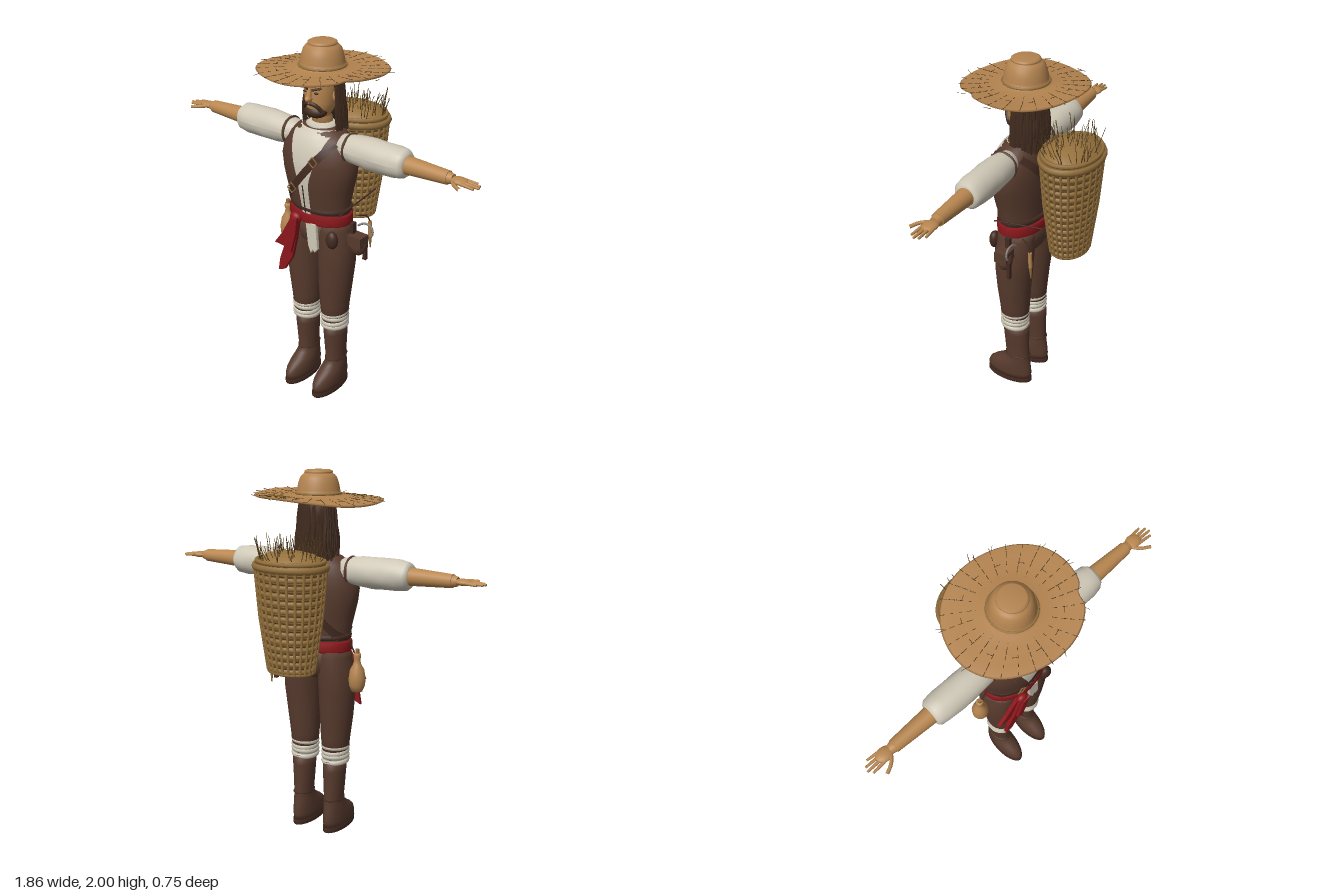
import * as THREE from 'three';

const mat = (name, color, side = THREE.FrontSide) =>
  Object.assign(new THREE.MeshStandardMaterial({ color, side }), { name });
const V = (x, y, z) => new THREE.Vector3(x, y, z);

export function createModel() {
  const M = {
    straw: mat('straw', 0xb3834f), skin: mat('skin', 0xb98750), hair: mat('hair', 0x422c1f),
    leather: mat('leather', 0x573a2d), strap: mat('strap', 0x432a20, THREE.DoubleSide),
    cream: mat('cream', 0xcfc8b7, THREE.DoubleSide), red: mat('red', 0x8c171c, THREE.DoubleSide),
    wicker: mat('wicker', 0x94703c), dryGrass: mat('dryGrass', 0x57401f), metal: mat('metal', 0x8b8880),
  };
  const root = new THREE.Group();
  let seed = 7;
  const rnd = (a = 0, b = 1) => { seed = (seed * 16807) % 2147483647; return a + (b - a) * seed / 2147483647; };
  const part = (name, parent = root) => { const g = new THREE.Group(); g.name = name; parent.add(g); return g; };
  const add = (name, geo, m, parent = root) => {
    const mesh = new THREE.Mesh(geo, m); mesh.name = name; parent.add(mesh); return mesh;
  };

  // Closed body through elliptical sections [y, centreX, centreZ, radiusX, radiusZ]
  const loft = (sec, n = 28) => {
    const pos = [], idx = [];
    sec.forEach(([y, cx, cz, rx, rz]) => {
      for (let j = 0; j < n; j++) {
        const a = j / n * Math.PI * 2;
        pos.push(cx + rx * Math.cos(a), y, cz + rz * Math.sin(a));
      }
    });
    for (let i = 0; i < sec.length - 1; i++) for (let j = 0; j < n; j++) {
      const a = i * n + j, b = i * n + (j + 1) % n;
      idx.push(a, a + n, b, b, a + n, b + n);
    }
    const top = (sec.length - 1) * n, c = sec.length * n;
    [sec[0], sec[sec.length - 1]].forEach(s => pos.push(s[1], s[0], s[2]));
    for (let j = 0; j < n; j++) {
      const k = (j + 1) % n;
      idx.push(c, j, k, c + 1, top + k, top + j);
    }
    const g = new THREE.BufferGeometry();
    g.setAttribute('position', new THREE.Float32BufferAttribute(pos, 3));
    g.setIndex(idx); g.computeVertexNormals();
    return g;
  };
  const lathe = (pts, n = 28) => new THREE.LatheGeometry(pts.map(p => new THREE.Vector2(...p)), n);
  const rod = (name, a, b, r0, m, parent, r1 = r0, n = 8) => {
    const d = b.clone().sub(a), mesh = add(name, new THREE.CylinderGeometry(r1, r0, d.length(), n), m, parent);
    mesh.position.copy(a).addScaledVector(d, 0.5);
    mesh.quaternion.setFromUnitVectors(V(0, 1, 0), d.normalize());
    return mesh;
  };
  const tube = (name, pts, r, m, parent, n = 6) =>
    add(name, new THREE.TubeGeometry(new THREE.CatmullRomCurve3(pts), 10, r, n), m, parent);
  const ball = (name, p, s, m, parent) => {
    const b = add(name, new THREE.SphereGeometry(1, 20, 14), m, parent);
    b.position.set(...p); b.scale.set(...s); return b;
  };
  const cloth = (name, pts, z, m, parent) => {
    const g = new THREE.ExtrudeGeometry(new THREE.Shape(pts.map(p => new THREE.Vector2(...p))),
      { depth: 0.014, bevelSize: 0.004, bevelThickness: 0.004, bevelSegments: 2 });
    const mesh = add(name, g, m, parent); mesh.position.z = z; return mesh;
  };

  // Vest and hips
  const TORSO = [[1.04, 0, .08, .175, .11], [1.15, 0, .085, .178, .118], [1.25, 0, .09, .2, .132],
    [1.32, 0, .09, .218, .138], [1.39, 0, .09, .228, .138], [1.46, 0, .085, .215, .13],
    [1.52, 0, .08, .178, .112], [1.555, 0, .075, .14, .09], [1.58, 0, .07, .07, .06]];
  add('vest', loft(TORSO, 40), M.leather);
  add('hips', loft([[.9, 0, .08, .07, .07], [.94, 0, .08, .155, .105], [.99, 0, .08, .19, .112], [1.07, 0, .08, .182, .112]], 32), M.leather);

  // Thin sheets that follow the torso, front (side 1) or back (side -1)
  const torsoZ = (x, y, side) => {
    let i = 0;
    while (i < TORSO.length - 2 && TORSO[i + 1][0] < y) i++;
    const p = TORSO[i], q = TORSO[i + 1], t = (y - p[0]) / (q[0] - p[0]);
    const [cz, rx, rz] = [2, 3, 4].map(k => p[k] + (q[k] - p[k]) * t);
    return cz + side * rz * Math.sqrt(Math.max(0, 1 - (x / rx) ** 2));
  };
  const sheet = (name, rows, off, m, side = 1) => {
    const g = new THREE.PlaneGeometry(1, 1, 8, rows.length - 1), p = g.attributes.position;
    rows.forEach(([[x0, y0], [x1, y1]], i) => {
      for (let j = 0; j <= 8; j++) {
        const x = x0 + (x1 - x0) * j / 8, y = y0 + (y1 - y0) * j / 8;
        p.setXYZ(i * 9 + j, x, y, torsoZ(x, y, side) + off * side);
      }
    });
    g.computeVertexNormals();
    return add(name, g, m);
  };
  const shirtHalf = y => y > 1.3 ? .035 + (y - 1.3) * .32 : .026 + (y - 1.06) * .035;
  sheet('shirtFront', Array.from({ length: 19 }, (_, i) => {
    const y = 1.566 - i * .028, w = shirtHalf(y); return [[-w, y], [w, y]];
  }), .006, M.cream);
  add('collar', loft([[1.54, 0, .075, .1, .08], [1.575, 0, .075, .085, .07], [1.59, 0, .075, .065, .062]]), M.cream);
  rod('shirtSlit', V(0, 1.12, .212), V(0, 1.28, .235), .003, M.strap);
  const strapRows = (x0, y0, x1, y1, w) => Array.from({ length: 17 }, (_, i) => {
    const t = i / 16, x = x0 + (x1 - x0) * t, y = y0 + (y1 - y0) * t;
    return [[x - w * .75, y - w * -.65], [x + w * .75, y - w * .65]];
  });
  sheet('chestStrap', strapRows(.15, 1.52, -.165, 1.13, .02), .014, M.strap);
  sheet('backStrap', strapRows(.15, 1.52, -.165, 1.13, .02), .012, M.strap, -1);
  [[-.075, 1.245], [.07, 1.425]].forEach(([x, y]) => {
    const b = add('buckle', new THREE.TorusGeometry(.028, .004, 5, 4), M.wicker);
    b.position.set(x, y, torsoZ(x, y, 1) + .02); b.rotation.z = .1;
  });

  // Belts and sash
  const band = (name, y0, y1, rx, rz, m) => add(name, loft([[y0, 0, .083, rx - .008, rz - .008], [y0 + .008, 0, .083, rx, rz],
    [y1 - .008, 0, .083, rx, rz], [y1, 0, .083, rx - .008, rz - .008]], 36), m);
  band('sash', 1.05, 1.112, .19, .128, M.red);
  band('belt', 1.118, 1.15, .186, .126, M.strap);
  const knot = part('sashKnot');
  ball('knot', [-.06, 1.075, .22], [.035, .03, .024], M.red, knot);
  cloth('longTail', [[-.075, 1.08], [-.035, 1.07], [-.055, .95], [-.085, .83], [-.14, .74], [-.18, .72], [-.165, .8], [-.115, .93]], .215, M.red, knot);
  cloth('shortTail', [[-.09, 1.07], [-.05, 1.07], [-.08, .97], [-.13, .87], [-.215, .875], [-.165, .94]], .2, M.red, knot);
  cloth('sideTail', [[-.07, 1.07], [-.035, 1.08], [-.05, .98], [-.08, .87], [-.11, .9]], .23, M.red, knot);
  cloth('shirtTail', [[0, 1.06], [.06, 1.06], [.07, .92], [.055, .9], [.045, .915], [.03, .89], [.015, .93]], .192, M.cream);
  rod('sideCord', V(.18, 1.13, .16), V(.19, 1.18, -.14), .004, M.strap);

  // Legs, wraps and boots
  for (const s of [-1, 1]) {
    const leg = part(s > 0 ? 'leftLeg' : 'rightLeg');
    add('trousers', loft([[.42, s * .1, .09, .068, .074], [.55, s * .1, .09, .08, .085], [.68, s * .105, .09, .092, .095],
      [.82, s * .11, .085, .1, .106], [.93, s * .107, .082, .1, .11], [1.02, s * .095, .08, .09, .106], [1.06, s * .09, .08, .08, .1]]), M.leather, leg);
    for (let i = 0; i < 4; i++) {
      const w = add('kneeWrap', new THREE.TorusGeometry(.066, .016, 8, 28), M.cream, leg);
      w.position.set(s * .1, .417 + i * .027, .09); w.scale.set(.96, 1.02, 1.05);
      w.rotation.set(Math.PI / 2 + .05 * (i % 2 ? 1 : -1), .04 * s, 0);
    }
    add('wrapCore', loft([[.405, s * .1, .09, .07, .074], [.51, s * .1, .09, .073, .078]]), M.cream, leg);
    add('boot', loft([[.025, s * .1, .132, .058, .14], [.06, s * .1, .132, .06, .142], [.09, s * .1, .126, .06, .135],
      [.115, s * .1, .113, .058, .118], [.135, s * .1, .098, .056, .1], [.16, s * .1, .083, .052, .081], [.19, s * .1, .076, .049, .072],
      [.28, s * .1, .08, .056, .073], [.36, s * .1, .082, .061, .077], [.42, s * .1, .085, .063, .077]]), M.leather, leg);
    add('sole', loft([[0, s * .1, .132, .059, .141], [.004, s * .1, .132, .061, .144], [.026, s * .1, .132, .061, .144], [.03, s * .1, .132, .057, .14]]), M.strap, leg);
    const cuff = add('ankleSeam', new THREE.TorusGeometry(.05, .004, 6, 24), M.strap, leg);
    cuff.position.set(s * .1, .19, .076); cuff.rotation.x = Math.PI / 2; cuff.scale.y = 1.45;
  }

  // Arms with puffed sleeves and open hands
  for (const s of [-1, 1]) {
    const arm = part(s > 0 ? 'leftArm' : 'rightArm');
    arm.position.set(0, 1.49, .085);
    const sleeve = lathe([[.03, .12], [.062, .15], [.072, .2], [.078, .26], [.082, .33], [.081, .4], [.08, .47], [.073, .52], [.06, .537], [.04, .538]], 32);
    const p = sleeve.attributes.position;
    for (let i = 0; i < p.count; i++) {
      const x = p.getX(i), y = p.getY(i), z = p.getZ(i), f = 1 + .025 * Math.sin(5 * Math.atan2(z, x) + y * 30);
      p.setXYZ(i, x * f, y, z * f);
    }
    sleeve.computeVertexNormals();
    add('sleeve', sleeve, M.cream, arm).rotation.z = -s * Math.PI / 2;
    const hole = add('armhole', new THREE.TorusGeometry(.07, .008, 8, 28), M.leather, arm);
    hole.position.x = s * .195; hole.rotation.y = Math.PI / 2;
    rod('forearm', V(s * .5, 0, 0), V(s * .765, 0, 0), .048, M.skin, arm, .034, 24);
    rod('wrist', V(s * .765, 0, 0), V(s * .79, 0, 0), .03, M.skin, arm, .024, 20);
    ball('palm', [s * .82, 0, 0], [.047, .017, .037], M.skin, arm);
    for (let f = 0; f < 4; f++) {
      const z = (f - 1.5) * .018, l = [.9, .925, .932, .915][f];
      rod('finger', V(s * .84, 0, z), V(s * l, -.004, z * 1.25), .0095, M.skin, arm, .006);
    }
    tube('thumb', [V(s * .795, 0, .02), V(s * .825, 0, .055), V(s * .87, -.004, .08)], .009, M.skin, arm, 8);
  }

  // Head and face
  const head = part('head');
  add('neckAndSkull', loft([[1.54, 0, .07, .056, .052], [1.62, 0, .07, .054, .052], [1.632, 0, .088, .05, .062], [1.66, 0, .084, .068, .078],
    [1.7, 0, .08, .08, .086], [1.76, 0, .078, .086, .09], [1.82, 0, .075, .086, .09], [1.88, 0, .072, .08, .085]]), M.skin, head);
  ball('nose', [0, 1.727, .175], [.016, .017, .025], M.skin, head);
  rod('noseBridge', V(0, 1.735, .176), V(0, 1.785, .164), .014, M.skin, head, .008);
  ball('beard', [0, 1.652, .122], [.064, .036, .05], M.hair, head);
  for (const s of [-1, 1]) {
    ball('ear', [s * .087, 1.735, .075], [.012, .03, .018], M.skin, head);
    ball('eye', [s * .034, 1.757, .16], [.014, .006, .007], M.hair, head);
    rod('brow', V(s * .014, 1.772, .169), V(s * .058, 1.784, .149), .006, M.hair, head);
    tube('moustache', [V(0, 1.703, .17), V(s * .03, 1.695, .162), V(s * .054, 1.664, .14)], .011, M.hair, head, 8);
  }

  // Long hair: a back cap and hanging locks
  const hair = part('hair');
  add('hairCap', loft([[1.6, 0, .02, .06, .04], [1.68, 0, .022, .083, .055], [1.78, 0, .03, .093, .065], [1.88, 0, .04, .09, .07]]), M.hair, hair);
  for (let i = 0; i < 54; i++) {
    const a = -.3 + i / 53 * (Math.PI + .6), c = Math.cos(a), q = Math.sin(a), end = rnd(1.49, 1.6), j = rnd(-.008, .008);
    tube('lock', [V(c * .088, 1.87, .06 - q * .08), V(c * .1 + j, 1.75, .06 - q * .092), V(c * .114, 1.64, .058 - q * .1 + j), V(c * .115 + j, end, .055 - q * (.1 + j))], rnd(.007, .011), M.hair, hair, 5);
  }

  // Wide hat with an uneven, tilted brim
  const hat = part('hat');
  hat.position.z = .067;
  const warp = (x, y, z) => {
    const r = Math.hypot(x, z), a = Math.atan2(z, x), s = Math.max(0, (r - .12) / .22);
    const f = 1 - s * (.03 * Math.sin(2 * a + 1) ** 2 + .07 * Math.exp(-(((a - .55) / .12) ** 2)));
    return V(x * f, y + s * (x * .055 + .006 * Math.sin(3 * a)), z * f * (1 - .1 * Math.min(1, s)));
  };
  const hatGeo = lathe([[.085, 1.85], [.2, 1.85], [.3, 1.851], [.335, 1.853], [.347, 1.86], [.338, 1.866], [.28, 1.864], [.2, 1.866],
    [.13, 1.87], [.115, 1.88], [.112, 1.9], [.106, 1.93], [.096, 1.96], [.083, 1.976], [.07, 1.981], [.074, 1.985], [.073, 1.993], [.062, 1.999], [.0001, 2]], 72);
  const hp = hatGeo.attributes.position;
  for (let i = 0; i < hp.count; i++) hp.setXYZ(i, ...warp(hp.getX(i), hp.getY(i), hp.getZ(i)).toArray());
  hatGeo.computeVertexNormals();
  add('brimAndCrown', hatGeo, M.straw, hat);
  const ring = add('hatBand', new THREE.TorusGeometry(.116, .007, 8, 40), M.wicker, hat);
  ring.position.y = 1.88; ring.rotation.x = Math.PI / 2;
  for (let k = 0; k < 26; k++) {
    const a = k / 26 * Math.PI * 2, at = (r, b = a) => warp(Math.cos(b) * r, 1.8665, Math.sin(b) * r);
    for (let r = .14; r < .32; r += .045) rod('stitch', at(r), at(r + rnd(.015, .04)), .0017, M.dryGrass, hat, .0017, 4);
    if (k % 2) rod('ringStitch', at(.24), at(.24, a + .12), .0015, M.dryGrass, hat, .0015, 4);
    if (k % 3 === 0) rod('strayStraw', at(.33).setY(1.858), at(.37, a + .06).setY(1.858 + rnd(-.02, .02)), .0015, M.dryGrass, hat, .001, 4);
  }

  // Woven back basket, oval in plan
  const basket = part('basket');
  basket.position.set(0, 0, -.197); basket.scale.z = .77;
  const R = t => .126 + .068 * t + .008 * Math.sin(t * Math.PI), Y = t => .985 + t * .56;
  const hoop = (name, y, r, w, h) => {
    const m = add(name, new THREE.TorusGeometry(r, w, 6, 44), M.wicker, basket);
    m.position.y = y; m.rotation.x = Math.PI / 2; m.scale.z = h;
  };
  add('basketCore', lathe([[.0001, .982], ...[0, .25, .5, .75, 1].map(t => [R(t) - .004, Y(t)]), [.18, 1.56], [.13, 1.595], [.06, 1.61], [.0001, 1.613]], 44), M.wicker, basket);
  for (let i = 0; i < 14; i++) hoop('weaveRow', Y((i + .5) / 14), R((i + .5) / 14), .007, 1.9);
  for (let i = 0; i < 14; i++) {
    const m = add('weaveGap', new THREE.TorusGeometry(R(i / 14) - .002, .0045, 5, 44), M.dryGrass, basket);
    m.position.y = Y(i / 14); m.rotation.x = Math.PI / 2;
  }
  for (let i = 0; i < 26; i++) {
    const a = i / 26 * Math.PI * 2, at = (t, o) => V(Math.cos(a) * (R(t) + o), Y(t), Math.sin(a) * (R(t) + o));
    rod('stave', at(0, .003), at(.5, .004), .008, M.wicker, basket);
    rod('stave', at(.5, .004), at(1, .003), .008, M.wicker, basket, .009);
  }
  hoop('rim', 1.535, .2, .013, 1.4); hoop('innerRim', 1.562, .185, .012, 1); hoop('foot', .988, .126, .01, 1);
  for (let i = 0; i < 90; i++) {
    const a = rnd(0, 6.283), r = .18 * Math.sqrt(rnd()), k = rnd(.95, 1.3), x = Math.cos(a) * r, z = Math.sin(a) * r;
    rod('grassStem', V(x, 1.56, z), V(x * k + rnd(-.03, .03), rnd(1.61, 1.7), z * k + rnd(-.03, .03)), .0025, M.dryGrass, basket, .0015, 4);
  }

  // Gourd on the right hip
  const gourd = part('gourd');
  gourd.position.set(-.237, .835, .08);
  add('gourdBody', lathe([[.0001, 0], [.03, .005], [.044, .04], [.046, .08], [.038, .125], [.022, .155], [.016, .18], [.021, .2], [.018, .215], [.0001, .218]], 24), M.straw, gourd);
  rod('stopper', V(0, .215, 0), V(0, .238, 0), .011, M.wicker, gourd);
  tube('cord', [V(.01, .2, 0), V(.035, .25, 0), V(.06, .3, 0)], .004, M.strap, gourd);

  // Pouches and tools on the left hip
  const kit = part('hipKit');
  const box = (name, p, s, m) => add(name, new THREE.BoxGeometry(...s), m, kit).position.set(...p);
  ball('pouchBody', [.235, .945, .065], [.045, .06, .04], M.leather, kit);
  box('pouchFlap', [.235, .975, .07], [.085, .06, .072], M.leather);
  box('pouchLoop', [.2, 1.03, .065], [.02, .07, .03], M.strap);
  ball('smallPouch', [.15, .99, .18], [.035, .05, .028], M.strap, kit);
  box('sheath', [.255, .9, .03], [.02, .1, .02], M.strap);
  tube('hook', [V(.2, 1.03, .02), V(.235, 1.052, .02), V(.28, 1.05, .02), V(.295, 1.015, .02), V(.285, .99, .02)], .006, M.metal, kit);
  rod('knifeHandle', V(.21, .93, -.075), V(.21, 1.02, -.072), .011, M.straw, kit);
  rod('knifeBlade', V(.21, .86, -.078), V(.21, .93, -.075), .003, M.wicker, kit, .01);
  tube('knifeCord', [V(.18, 1.07, -.01), V(.2, 1.06, -.05), V(.21, 1.02, -.072)], .004, M.strap, kit);
  return root;
}
